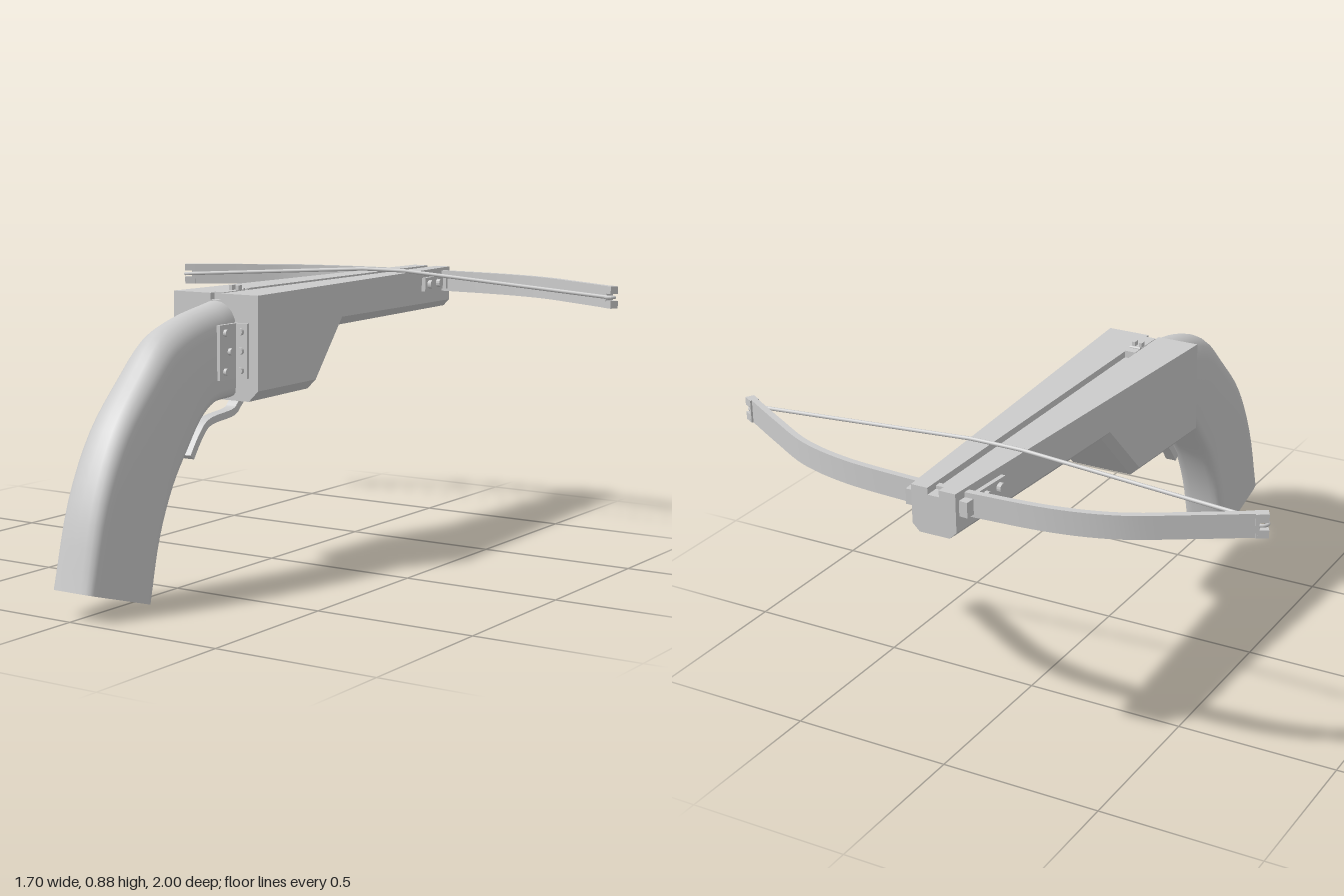
import * as THREE from 'three';
import { toCreasedNormals } from 'three/addons/utils/BufferGeometryUtils.js';

const material = new THREE.MeshStandardMaterial({ color: 0xcccccc, roughness: 0.8 });

function add(parent, name, geometry, x = 0, y = 0, z = 0) {
  const mesh = new THREE.Mesh(geometry, material);
  mesh.name = name;
  mesh.position.set(x, y, z);
  parent.add(mesh);
  return mesh;
}

const box = (w, h, d) => new THREE.BoxGeometry(w, h, d);

// Skin a closed solid over rings of flat outlines; place(p, i) puts 2D point p of ring i in space
function loft(rings, place, crease) {
  const pos = [];
  const pts = rings.map((ring, i) => ring.map((p) => place(p, i)));
  const tri = (...corners) => corners.forEach((c) => pos.push(...c));
  for (let i = 0; i < pts.length - 1; i++) {
    const A = pts[i], B = pts[i + 1], n = A.length;
    for (let j = 0; j < n; j++) {
      const k = (j + 1) % n;
      tri(A[j], B[j], B[k]);
      tri(A[j], B[k], A[k]);
    }
  }
  const cap = (i, flip) => {
    const outline = rings[i].map((p) => new THREE.Vector2(...p));
    for (const [a, b, c] of THREE.ShapeUtils.triangulateShape(outline, [])) {
      if (flip) tri(pts[i][a], pts[i][c], pts[i][b]);
      else tri(pts[i][a], pts[i][b], pts[i][c]);
    }
  };
  cap(0, false);
  cap(rings.length - 1, true);
  const g = new THREE.BufferGeometry();
  g.setAttribute('position', new THREE.Float32BufferAttribute(pos, 3));
  return toCreasedNormals(g, crease);
}

// Extrude a strip of constant thickness that follows a curve
function strip(points, thickness, depth, steps) {
  const curve = new THREE.SplineCurve(points.map((p) => new THREE.Vector2(...p)));
  const upper = [], lower = [];
  for (let i = 0; i <= steps; i++) {
    const p = curve.getPoint(i / steps), t = curve.getTangent(i / steps);
    const n = new THREE.Vector2(-t.y, t.x).multiplyScalar(thickness / 2);
    upper.push(p.clone().add(n));
    lower.unshift(p.clone().sub(n));
  }
  const g = new THREE.ExtrudeGeometry(new THREE.Shape([...upper, ...lower]), { depth, bevelEnabled: false });
  return toCreasedNormals(g, 0.5);
}

// Tapered stock with a bolt groove on top and chamfered lower edges
function stockGeometry() {
  const stations = [[0.3, 0.55], [-0.05, 0.55], [-0.22, 0.733], [-1, 0.733]];
  const rings = stations.map(([z, bottom]) => {
    const w = 0.07 + 0.085 * (z + 1) / 1.3, c = 0.022 + 0.012 * (z + 1) / 1.3;
    const half = [[w - c, bottom], [w, bottom + c], [w, 0.87], [0.018, 0.87], [0.018, 0.85]];
    return [...half, ...half.map(([x, y]) => [-x, y]).reverse()];
  });
  return loft(rings, ([x, y], i) => [x, y, stations[i][0]], 0.1);
}

// Curved grip: lofted between its back line and its front line
function gripGeometry() {
  const line = (pts) => new THREE.CatmullRomCurve3(pts.map(([z, y]) => new THREE.Vector3(0, y, z)));
  const back = line([[1, 0.088], [0.935, 0.337], [0.84, 0.524], [0.71, 0.67], [0.61, 0.765], [0.5, 0.81], [0.3, 0.848]]);
  const front = line([[0.708, 0.003], [0.663, 0.187], [0.6, 0.326], [0.53, 0.424], [0.46, 0.508], [0.395, 0.548], [0.3, 0.556]]);
  const N = 24, M = 10, w = 0.074, rings = [], frames = [];
  for (let i = 0; i <= N; i++) {
    const t = i / N, a = front.getPoint(t), b = back.getPoint(t);
    const len = a.distanceTo(b), dOut = 0.04 + 0.035 * Math.min(1, t * 1.4), dIn = 0.035;
    const power = 0.6 + 0.4 * Math.min(1, t * 1.4);
    const ring = [];
    const arc = (from, depth, base, e) => {
      for (let j = 0; j <= M; j++) {
        const q = from + (Math.PI * j) / M, c = Math.cos(q), s = Math.sin(q);
        ring.push([w * Math.sign(c) * Math.abs(c) ** e, base + depth * Math.sign(s) * Math.abs(s) ** e]);
      }
    };
    arc(0, dOut, len - dOut, power);
    arc(Math.PI, dIn, dIn, 0.6);
    rings.push(ring);
    frames.push({ a, dir: b.sub(a).normalize() });
  }
  return loft(rings, ([x, v], i) => {
    const { a, dir } = frames[i];
    return [x, a.y + dir.y * v, a.z + dir.z * v];
  }, 0.75);
}

// Screw head with its axis along x or z
function screw(parent, axis, x, y, z, r = 0.011) {
  const g = new THREE.CylinderGeometry(r, r, 0.014, 12);
  if (axis === 'x') g.rotateZ(Math.PI / 2);
  else g.rotateX(Math.PI / 2);
  add(parent, 'screw', toCreasedNormals(g, 0.6), x, y, z);
}

export function createModel() {
  const model = new THREE.Group();
  model.name = 'pistolCrossbow';

  add(model, 'stock', stockGeometry());
  add(model, 'grip', gripGeometry());

  // Trigger, drawn in the z-y plane and turned to face sideways
  const trigger = strip([[0.16, 0.56], [0.2, 0.525], [0.235, 0.502], [0.35, 0.488], [0.4, 0.452], [0.446, 0.392]], 0.022, 0.036, 24);
  trigger.rotateY(-Math.PI / 2).translate(0.018, 0, 0);
  add(model, 'trigger', trigger);

  // String latch at the rear of the groove
  add(model, 'latchBlock', box(0.036, 0.022, 0.14), 0, 0.861, 0.21);
  for (const s of [-1, 1]) add(model, 'latchProng', box(0.01, 0.03, 0.02), s * 0.012, 0.872, 0.195);
  const pin = new THREE.CylinderGeometry(0.005, 0.005, 0.036, 10).rotateZ(Math.PI / 2);
  add(model, 'latchPin', pin, 0, 0.873, 0.175);

  // Bow limb: one bent strip passing through the stock
  const half = [[0.127, -0.945], [0.33, -0.928], [0.5, -0.882], [0.655, -0.797], [0.822, -0.697]];
  const path = [...half.map(([x, z]) => [-x, -z]).reverse(), [0, 0.948], ...half.map(([x, z]) => [x, -z])];
  add(model, 'bowLimb', strip(path, 0.02, 0.07, 56).rotateX(-Math.PI / 2), 0, 0.79, 0);

  for (const s of [-1, 1]) {
    const side = new THREE.Group();
    side.name = s > 0 ? 'leftFittings' : 'rightFittings';
    model.add(side);

    // Forked limb tip
    for (const y of [0.802, 0.848]) {
      add(side, 'limbTip', box(0.03, 0.024, 0.028), s * 0.831, y, -0.694).rotation.y = -s * 0.53;
    }
    add(side, 'limbTipRoot', box(0.01, 0.07, 0.028), s * 0.817, 0.825, -0.702).rotation.y = -s * 0.53;

    // Angle bracket joining grip and stock
    add(side, 'gripPlate', box(0.012, 0.165, 0.095), s * 0.078, 0.703, 0.3475);
    add(side, 'stockPlate', box(0.05, 0.165, 0.012), s * 0.098, 0.703, 0.306);
    for (const [i, y] of [0.645, 0.703, 0.761].entries()) {
      screw(side, 'z', s * 0.102, y, 0.316);
      screw(side, 'x', s * 0.087, y, i === 1 ? 0.345 : 0.368);
    }

    // Bracket holding the limb to the stock
    const mount = new THREE.Group();
    mount.name = 'limbBracket';
    mount.position.set(s * 0.083, 0.822, -0.885);
    mount.rotation.y = s * 0.065;
    side.add(mount);
    add(mount, 'mountPlate', box(0.016, 0.046, 0.2));
    add(mount, 'limbStop', box(0.03, 0.046, 0.03), s * 0.006, 0, -0.085);
    add(mount, 'limbClamp', box(0.026, 0.046, 0.012), s * 0.008, 0, -0.042);
    for (const z of [0.005, 0.07]) screw(mount, 'x', s * 0.014, 0, z, 0.014);
  }

  // String, rising from the limb tips to cross the top of the stock
  const string = new THREE.CurvePath();
  const knots = [[-0.838, 0.825], [-0.08, 0.876], [0.08, 0.876], [0.838, 0.825]].map(([x, y]) => new THREE.Vector3(x, y, -0.676));
  for (let i = 0; i < 3; i++) string.add(new THREE.LineCurve3(knots[i], knots[i + 1]));
  add(model, 'bowString', new THREE.TubeGeometry(string, 40, 0.006, 8));
  for (const s of [-1, 1]) {
    const loop = new THREE.TorusGeometry(0.016, 0.005, 6, 16).rotateX(Math.PI / 2);
    add(model, 'stringLoop', loop, s * 0.827, 0.825, -0.688);
  }

  return model;
}
